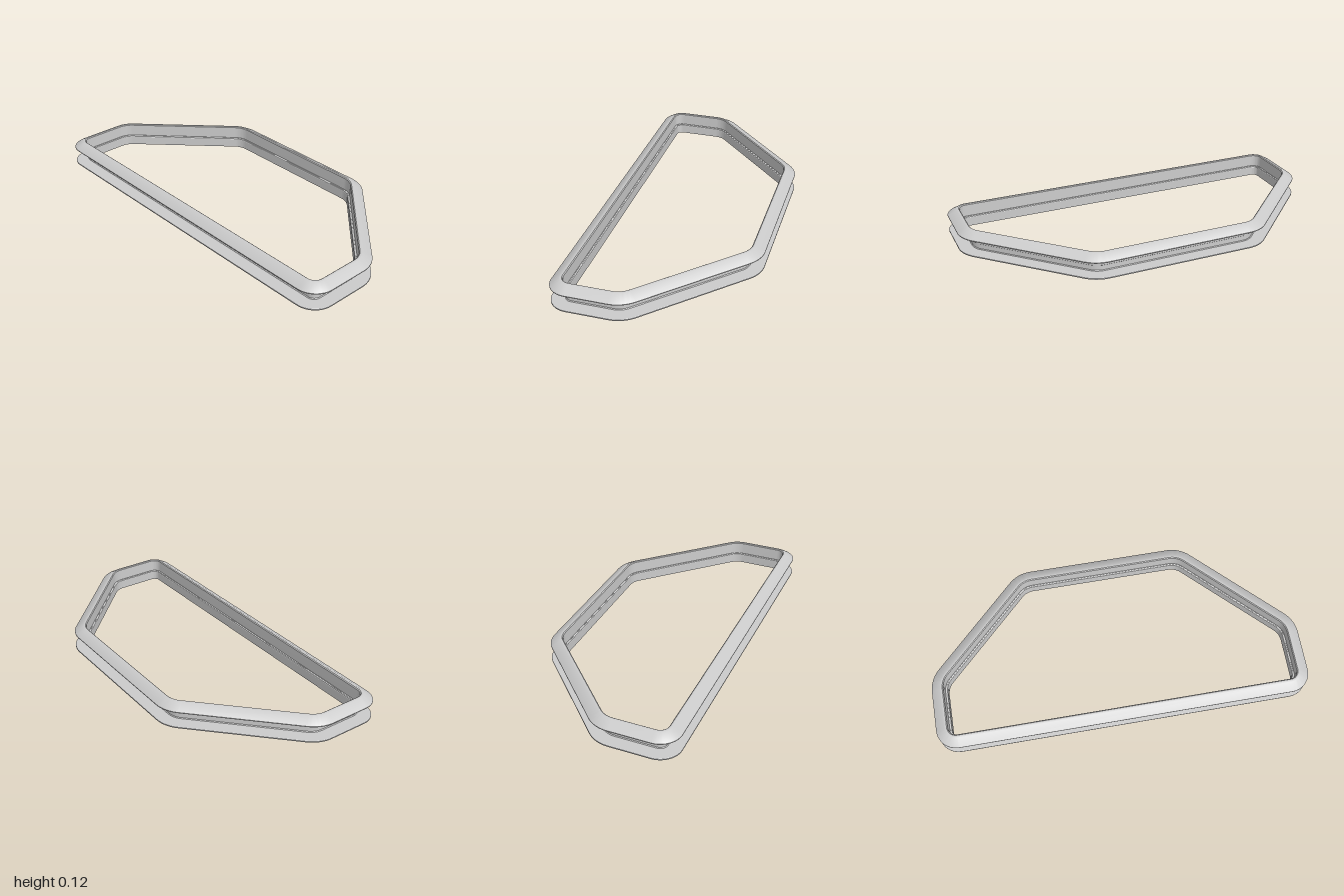
import * as THREE from 'three';
import { toCreasedNormals } from 'three/addons/utils/BufferGeometryUtils.js';

// Outline corners: x, z, fillet radius, angles of the outward normal before and after
const CORNERS = [
  [0.465, 0.46, 0.17, 0, 45],
  [-0.07, 1, 0.17, 45, 90],
  [-0.465, 1, 0.11, 90, 180],
  [-0.465, -1, 0.11, 180, 270],
  [-0.07, -1, 0.17, 270, 315],
  [0.465, -0.46, 0.17, 315, 360],
];

// Outline moved inward by d, as [x, z] points
function outline(d) {
  const points = [];
  for (const [x, z, r, a0, a1] of CORNERS) {
    const from = THREE.MathUtils.degToRad(a0), to = THREE.MathUtils.degToRad(a1);
    const mid = (from + to) / 2, reach = r / Math.cos((to - from) / 2);
    const cx = x - Math.cos(mid) * reach, cz = z - Math.sin(mid) * reach;
    const steps = 12;
    for (let i = 0; i <= steps; i++) {
      const a = from + (to - from) * i / steps;
      points.push([cx + Math.cos(a) * (r - d), cz + Math.sin(a) * (r - d)]);
    }
  }
  return points;
}

// Sweeps a profile of [inset, height] points around the outline
function sweep(name, profile, material) {
  const rings = profile.map(([d, y]) => outline(d).map(([x, z]) => [x, y, z]));
  const n = rings[0].length, pos = [];
  for (let j = 0; j < rings.length - 1; j++) {
    for (let i = 0; i < n; i++) {
      const k = (i + 1) % n;
      const a = rings[j][i], b = rings[j + 1][i], c = rings[j][k], e = rings[j + 1][k];
      pos.push(...a, ...b, ...c, ...c, ...b, ...e);
    }
  }
  const geometry = new THREE.BufferGeometry();
  geometry.setAttribute('position', new THREE.Float32BufferAttribute(pos, 3));
  const mesh = new THREE.Mesh(toCreasedNormals(geometry, Math.PI / 7), material);
  mesh.name = name;
  return mesh;
}

export function createModel() {
  const group = new THREE.Group();
  group.name = 'windowSeal';
  const material = new THREE.MeshStandardMaterial({ color: 0xcccccc, side: THREE.DoubleSide });

  // Thin base flange, seen from below and at its rim
  group.add(sweep('baseFlange', [[0.078, 0], [0, 0], [0, 0.006], [0.003, 0.008], [0.07, 0.008]], material));

  // Outer channel wall with a small lip below the bead
  group.add(sweep('channelWall', [[0.07, 0.008], [0.074, 0.012], [0.074, 0.038], [0.07, 0.041], [0.07, 0.055]], material));

  // Wedge-shaped bead with a narrow blunt rim
  group.add(sweep('outerBead', [
    [0.07, 0.055], [0.064, 0.056], [0.004, 0.087], [0, 0.09], [0, 0.094], [0.004, 0.098],
    [0.048, 0.124], [0.052, 0.125], [0.06, 0.125],
  ], material));

  // Stepped inner wall around the opening
  group.add(sweep('innerWall', [
    [0.06, 0.125], [0.065, 0.121], [0.066, 0.055], [0.076, 0.052], [0.078, 0.049], [0.078, 0],
  ], material));

  return group;
}
